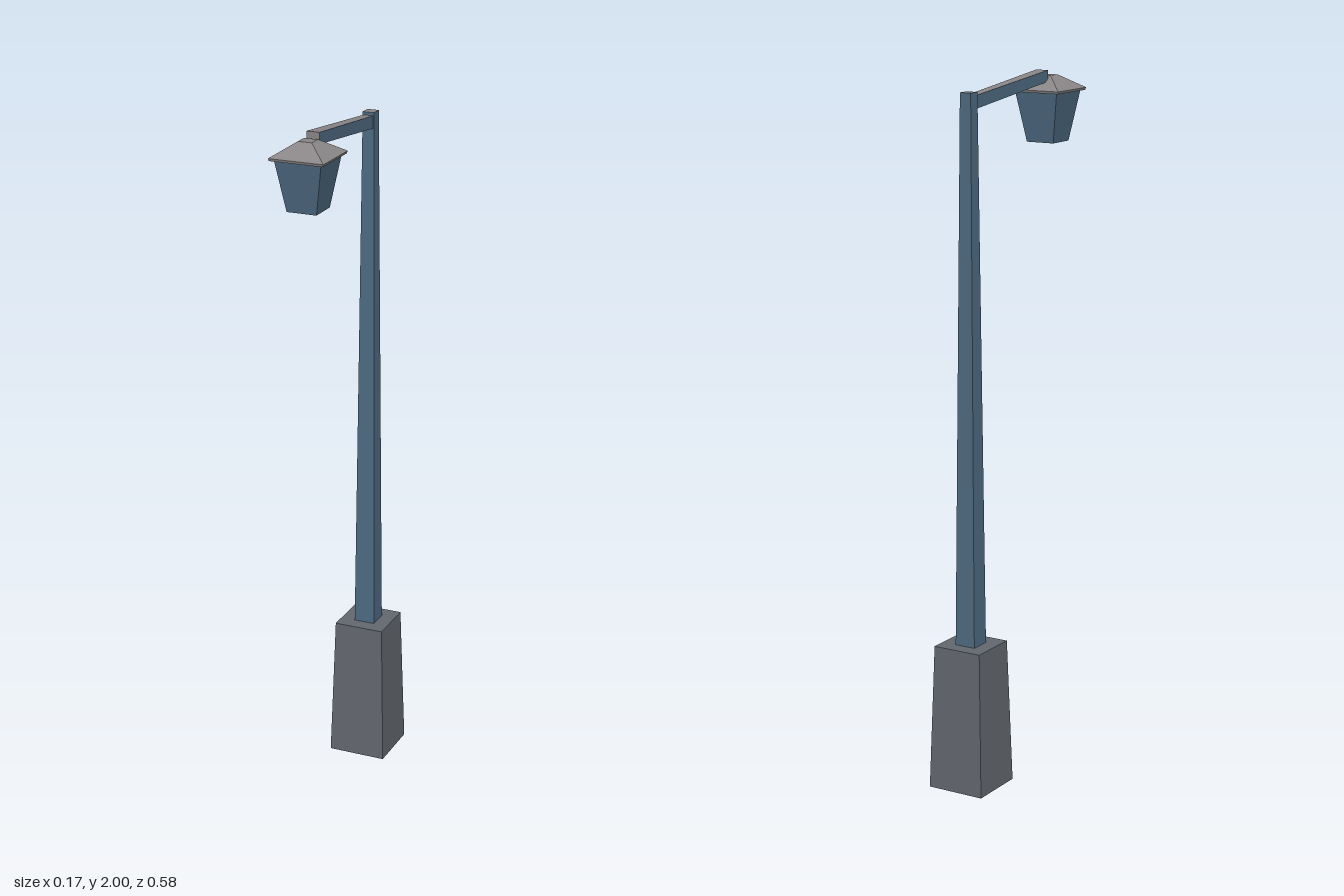
import * as THREE from 'three';

const slate = new THREE.MeshStandardMaterial({ color: 0x63686f });
slate.name = 'slate grey';
const blue = new THREE.MeshStandardMaterial({ color: 0x4f6b83 });
blue.name = 'steel blue';
const grey = new THREE.MeshStandardMaterial({ color: 0x8a8688 });
grey.name = 'warm grey';
for (const m of [slate, blue, grey]) m.flatShading = true;

// Unit box whose corners are moved by a rule; sides are -1 or 1 on each axis.
// Materials follow the box order: +x, -x, +y, -y, +z, -z.
function shapedBox(name, rule, materials) {
  const geometry = new THREE.BoxGeometry(2, 2, 2);
  const p = geometry.attributes.position;
  for (let i = 0; i < p.count; i++) {
    p.setXYZ(i, ...rule(p.getX(i), p.getY(i), p.getZ(i)));
  }
  geometry.computeVertexNormals();
  const mesh = new THREE.Mesh(geometry, materials);
  mesh.name = name;
  return mesh;
}

// Square frustum between two heights, centred at depth z0
function frustum(name, z0, y0, half0, y1, half1, materials) {
  return shapedBox(name, (x, y, z) => {
    const h = y > 0 ? half1 : half0;
    return [x * h, y > 0 ? y1 : y0, z0 + z * h];
  }, materials);
}

export function createModel() {
  const group = new THREE.Group();
  group.name = 'streetLamp';
  const poleZ = -0.207, lampZ = 0.212;

  // Plinth and tapering pole
  group.add(frustum('base', poleZ, 0, 0.086, 0.42, 0.074, slate));
  group.add(frustum('pole', poleZ, 0.42, 0.031, 1.97, 0.017,
    [blue, blue, grey, blue, blue, blue]));

  // Arm rising and widening towards the lantern
  group.add(shapedBox('arm', (x, y, z) => (z > 0
    ? [x * 0.019, y > 0 ? 2.0 : 1.968, 0.18]
    : [x * 0.014, y > 0 ? 1.961 : 1.925, -0.192]),
  [blue, blue, grey, grey, grey, blue]));

  // Lantern body under a hipped roof
  group.add(frustum('lantern', lampZ, 1.797, 0.043, 1.944, 0.068, blue));
  group.add(frustum('roofEave', lampZ, 1.939, 0.077, 1.946, 0.079,
    [grey, grey, grey, blue, grey, grey]));
  group.add(frustum('roof', lampZ, 1.946, 0.079, 1.984, 0.02, grey));

  return group;
}
